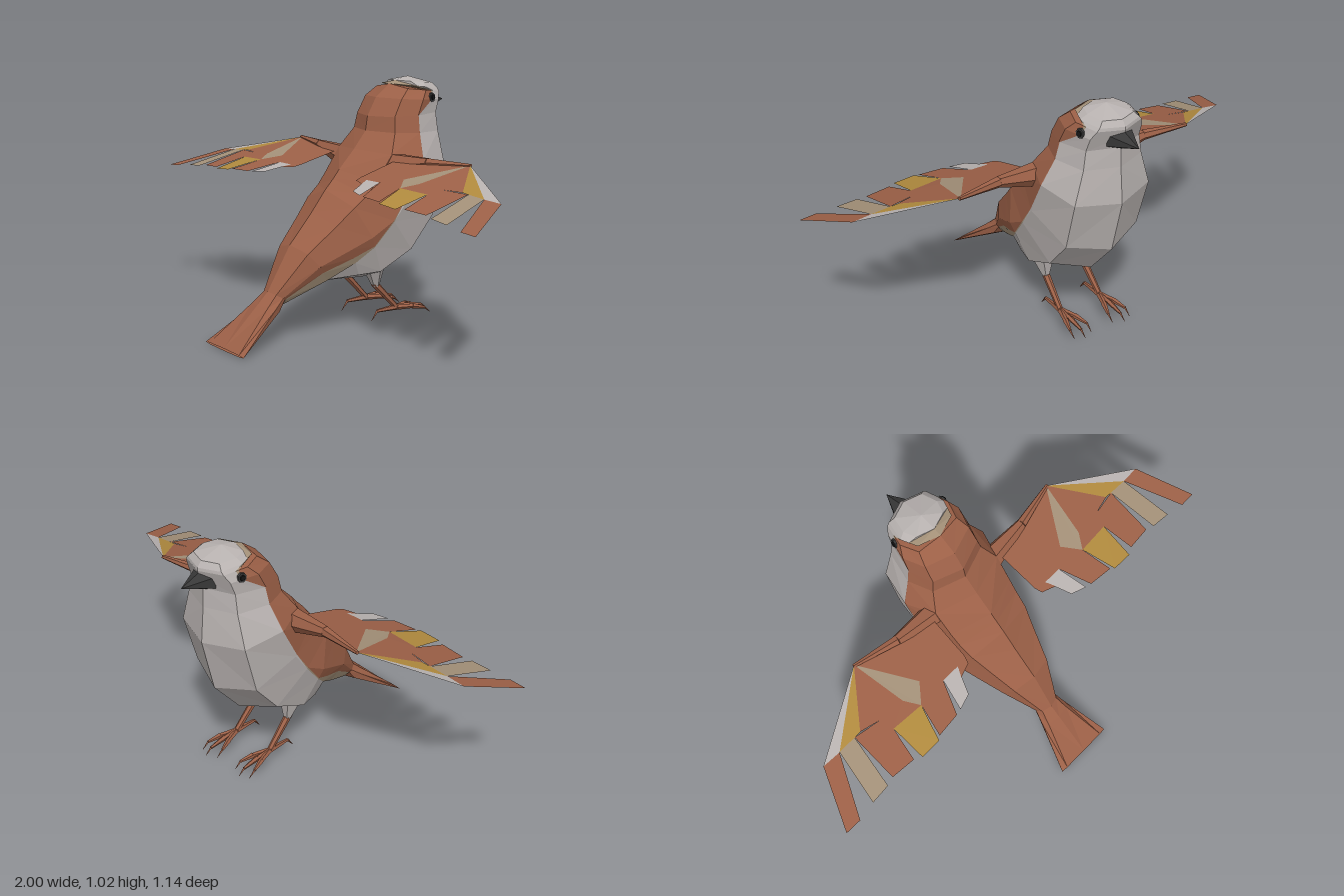
import * as THREE from 'three';

const material = (name, color) => {
  const m = new THREE.MeshStandardMaterial({ color, flatShading: true, side: THREE.DoubleSide });
  m.name = name;
  return m;
};

// Body rings from tail to crown: [back z, back y, front z, front y, half width, end of brown, end of beige]
const RINGS = [
  [0.57, 0.012, 0.565, 0.0, 0.135, 1, 1],
  [0.41, 0.159, 0.33, 0.128, 0.07, 1, 1],
  [0.36, 0.205, 0.28, 0.155, 0.055, 0.6, 1],
  [0.25, 0.38, 0.12, 0.21, 0.125, 0.62, 0.95],
  [0.14, 0.5, -0.02, 0.2, 0.17, 0.58, 0.66],
  [0.07, 0.585, -0.12, 0.19, 0.2, 0.55, 0.56],
  [0.03, 0.625, -0.3, 0.27, 0.21, 0.45, 0.46],
  [0, 0.66, -0.43, 0.42, 0.215, 0.43, 0.43],
  [-0.08, 0.74, -0.485, 0.65, 0.22, 0.46, 0.46],
  [-0.14, 0.81, -0.47, 0.8, 0.17, 0.45, 0.45],
  [-0.15, 0.87, -0.465, 0.88, 0.155, 0.46, 0.46],
  [-0.195, 0.945, -0.48, 0.93, 0.15, 0.68, 0.68],
  [-0.25, 0.985, -0.49, 0.96, 0.128, 0.6, 0.65],
  [-0.268, 0.997, -0.488, 0.972, 0.115, 0, 0.3],
  [-0.3, 1.01, -0.47, 0.995, 0.09, 0, 0],
  [-0.37, 1.025, -0.37, 1.025, 0, 0, 0],
];
// Half cross-section: position from back to front, and relative width
const CORNERS = [0, 0.14, 0.45, 0.85, 1];
const WIDTHS = [0, 0.78, 1, 0.8, 0];

function widthAt(t) {
  let i = 0;
  while (i < 3 && t > CORNERS[i + 1]) i++;
  return THREE.MathUtils.lerp(WIDTHS[i], WIDTHS[i + 1], (t - CORNERS[i]) / (CORNERS[i + 1] - CORNERS[i]));
}

function ringPoint([bz, by, fz, fy, w], t) {
  return new THREE.Vector3(w * widthAt(t), by + (fy - by) * t, bz + (fz - bz) * t);
}

// Flat-faced mesh from convex polygons, mirrored to the other side when side = -1
function polygonMesh(name, polygons, mat, side) {
  const pos = [];
  for (const poly of polygons) {
    for (let i = 1; i < poly.length - 1; i++) {
      const tri = side > 0 ? [poly[0], poly[i], poly[i + 1]] : [poly[0], poly[i + 1], poly[i]];
      if (new THREE.Triangle(...tri).getArea() < 1e-7) continue;
      for (const p of tri) pos.push(p.x * side, p.y, p.z);
    }
  }
  const g = new THREE.BufferGeometry();
  g.setAttribute('position', new THREE.Float32BufferAttribute(pos, 3));
  g.computeVertexNormals();
  const m = new THREE.Mesh(g, mat);
  m.name = name;
  return m;
}

// Tapered rod between two points
function rod(name, a, b, r1, r2, mat, side, sides = 6) {
  const p = new THREE.Vector3(a[0] * side, a[1], a[2]);
  const q = new THREE.Vector3(b[0] * side, b[1], b[2]);
  const d = q.clone().sub(p);
  const m = new THREE.Mesh(new THREE.CylinderGeometry(r2, r1, d.length(), sides), mat);
  m.position.copy(p).add(q).multiplyScalar(0.5);
  m.quaternion.setFromUnitVectors(new THREE.Vector3(0, 1, 0), d.normalize());
  m.name = name;
  return m;
}

// Wing sheet drops gently towards the trailing edge and the tip
const wingPoint = ([x, z]) =>
  new THREE.Vector3(x, 0.722 - 0.25 * (z + 0.2) - 0.08 * Math.max(0, x - 0.5), z);

export function createModel() {
  const bird = new THREE.Group();
  bird.name = 'bird';
  const brown = material('brown', 0x9c6047);
  const grey = material('pale grey', 0xb8b2b0);
  const beige = material('beige', 0xa39078);
  const gold = material('gold', 0xb08a3e);
  const black = material('charcoal', 0x383838);
  const eyeBlack = material('eye black', 0x151515);

  // Wing polygons in plan (x, z): coverts first, then feathers
  const coverts = [
    [grey, [[0.54, -0.215], [0.89, -0.025], [0.81, -0.02]]],
    [gold, [[0.54, -0.215], [0.81, -0.02], [0.7, -0.02]]],
    [brown, [[0.54, -0.215], [0.7, -0.02], [0.62, 0.0], [0.6, 0.06], [0.5, 0.01]]],
    [beige, [[0.54, -0.215], [0.5, 0.01], [0.46, 0.07], [0.4, 0.0]]],
    [brown, [[0.54, -0.215], [0.4, 0.0], [0.46, 0.07], [0.33, 0.06], [0.25, 0.06], [0.2, 0.05], [0.19, -0.16], [0.35, -0.17]]],
    [brown, [[0.5, 0.01], [0.6, 0.06], [0.46, 0.07]]],
  ];
  const feathers = [
    [brown, [[0.89, -0.025], [1.0, 0.21], [0.93, 0.212], [0.81, -0.02]]],
    [beige, [[0.81, -0.02], [0.895, 0.2], [0.78, 0.198], [0.7, -0.02]]].map((v, i) =>
      i ? [[0.81, -0.02], [0.85, 0.2], [0.765, 0.195], [0.73, -0.02]] : v),
    [brown, [[0.73, -0.02], [0.73, 0.185], [0.625, 0.195], [0.6, 0.06], [0.62, 0.0]]],
    [gold, [[0.6, 0.06], [0.595, 0.212], [0.505, 0.212], [0.46, 0.07]]],
    [brown, [[0.46, 0.07], [0.49, 0.2], [0.385, 0.19], [0.33, 0.06]]],
    [grey, [[0.33, 0.06], [0.36, 0.185], [0.295, 0.165], [0.25, 0.06]]],
    [brown, [[0.25, 0.06], [0.27, 0.1], [0.21, 0.08], [0.2, 0.05]]],
  ];

  for (const side of [1, -1]) {
    const label = side > 0 ? 'left' : 'right';

    // Body, tail and head, split along the plumage borders
    const zones = [
      ['BackPlumage', brown, () => 0, r => r[5]],
      ['PlumageBorder', beige, r => r[5], r => r[6]],
      ['BreastAndCrown', grey, r => r[6], () => 1],
    ];
    for (const [part, mat, from, to] of zones) {
      const quads = [];
      for (let i = 0; i < RINGS.length - 1; i++) {
        const [lower, upper] = [RINGS[i], RINGS[i + 1]];
        const at = (r, k) => ringPoint(r, THREE.MathUtils.clamp(CORNERS[k], from(r), to(r)));
        for (let k = 0; k < 4; k++)
          quads.push([at(lower, k), at(lower, k + 1), at(upper, k + 1), at(upper, k)]);
      }
      bird.add(polygonMesh(label + part, quads, mat, side));
    }

    // Wing: arm bones plus fan of feathers
    const wing = new THREE.Group();
    wing.name = label + 'Wing';
    wing.add(rod('upperArm', [0.16, 0.685, -0.16], [0.35, 0.712, -0.172], 0.05, 0.022, brown, side));
    wing.add(rod('forearm', [0.35, 0.712, -0.172], [0.545, 0.722, -0.213], 0.022, 0.008, brown, side));
    for (const [mat, poly] of coverts)
      wing.add(polygonMesh('covert', [poly.map(wingPoint)], mat, side));
    for (const [mat, poly] of feathers)
      wing.add(polygonMesh('feather', [poly.map(wingPoint)], mat, side));
    bird.add(wing);

    // Leg and foot
    const leg = new THREE.Group();
    leg.name = label + 'Leg';
    const ankle = [0.1, 0.062, -0.23];
    leg.add(rod('thigh', [0.1, 0.29, -0.1], [0.095, 0.17, -0.12], 0.06, 0.015, grey, side));
    leg.add(rod('shin', [0.095, 0.185, -0.11], ankle, 0.016, 0.012, brown, side));
    for (const spread of [-0.045, 0, 0.04]) {
      const knuckle = [0.1 + spread * 0.6, 0.06, -0.3];
      const end = [0.1 + spread, 0.048, -0.375 + Math.abs(spread) * 0.5];
      leg.add(rod('toe', ankle, knuckle, 0.013, 0.01, brown, side, 5));
      leg.add(rod('toeEnd', knuckle, end, 0.012, 0.006, brown, side, 5));
      leg.add(rod('claw', end, [end[0], 0.024, end[2] - 0.03], 0.005, 0.001, brown, side, 4));
    }
    leg.add(rod('backToe', ankle, [0.1, 0.062, -0.125], 0.013, 0.007, brown, side, 5));
    leg.add(rod('backClaw', [0.1, 0.062, -0.125], [0.1, 0.025, -0.095], 0.006, 0.001, brown, side, 4));
    bird.add(leg);

    // Eye: dark rim and pupil
    bird.add(rod(label + 'EyeRim', [0.11, 0.94, -0.385], [0.134, 0.942, -0.39], 0.024, 0.019, black, side, 8));
    bird.add(rod(label + 'Pupil', [0.13, 0.942, -0.389], [0.139, 0.943, -0.391], 0.013, 0.01, eyeBlack, side, 8));
  }

  // Beak
  const beak = new THREE.Mesh(new THREE.ConeGeometry(0.046, 0.12, 6), black);
  beak.name = 'beak';
  beak.geometry.translate(0, 0.06, 0);
  beak.geometry.rotateX(-Math.PI / 2);
  beak.geometry.scale(1.4, 1, 1);
  beak.geometry.translate(0, 0.916, -0.452);
  beak.rotation.x = 0;
  bird.add(beak);

  return bird;
}
